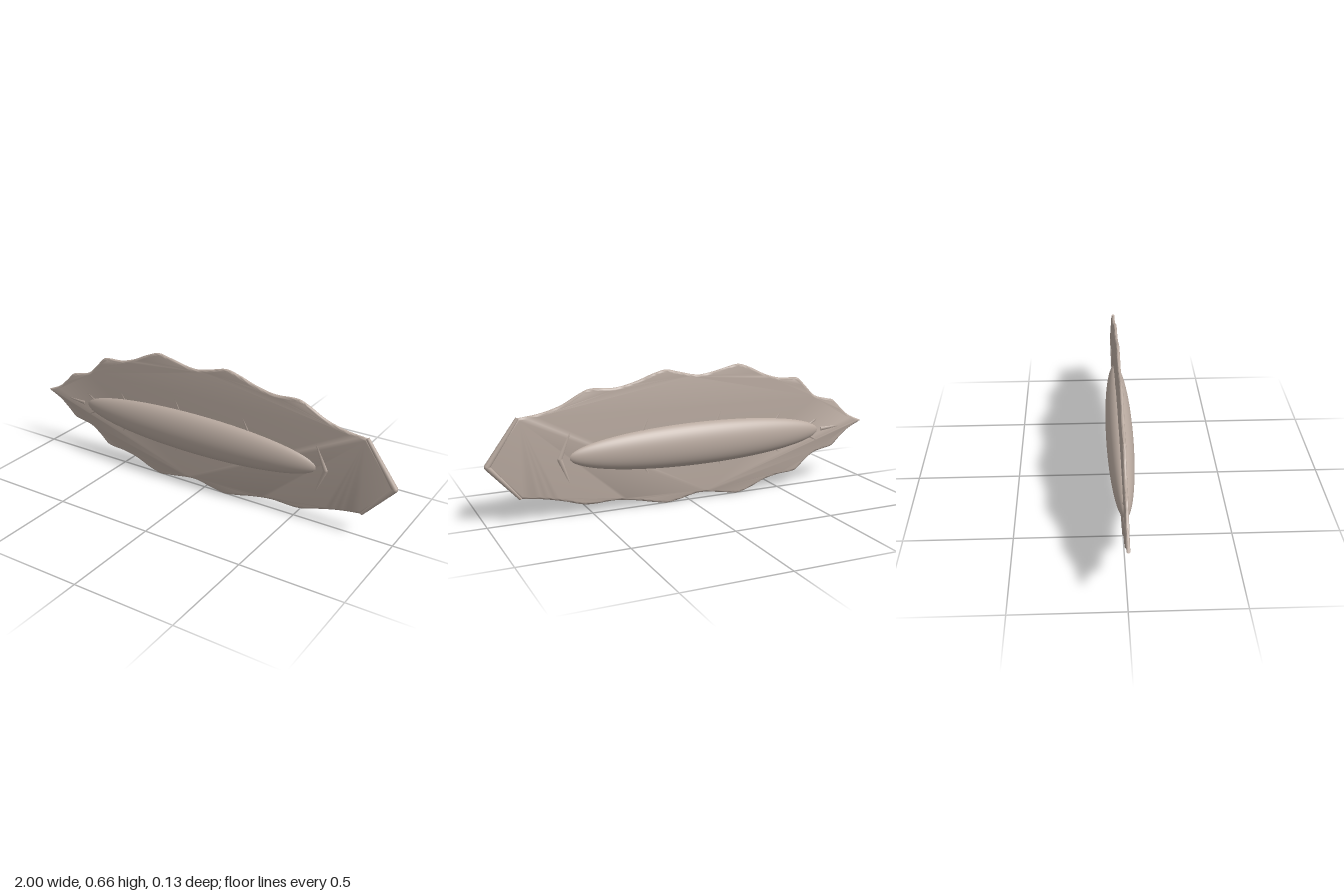
import * as THREE from 'three';
import { toCreasedNormals } from 'three/addons/utils/BufferGeometryUtils.js';

const skin = new THREE.MeshStandardMaterial({ color: 0xb9aaa0 });
skin.name = 'warm grey';

// Scalloped edges, each running from one hard corner to the next
const upperEdge = [
  [-1, 0.31], [-0.92, 0.347], [-0.87, 0.39], [-0.82, 0.437], [-0.79, 0.445], [-0.71, 0.468], [-0.655, 0.52],
  [-0.605, 0.568], [-0.575, 0.573], [-0.5, 0.577], [-0.42, 0.6], [-0.33, 0.643], [-0.265, 0.664], [-0.2, 0.653],
  [-0.055, 0.627], [0.05, 0.648], [0.12, 0.664], [0.185, 0.65], [0.28, 0.618], [0.38, 0.598], [0.5, 0.603],
  [0.55, 0.585], [0.64, 0.538], [0.74, 0.51], [0.84, 0.498],
];
const lowerEdge = [
  [0.84, 0.122], [0.74, 0.107], [0.64, 0.083], [0.55, 0.056], [0.5, 0.05], [0.38, 0.053], [0.28, 0.038],
  [0.185, 0.016], [0.12, 0.005], [0.05, 0.014], [-0.055, 0.034], [-0.2, 0.014], [-0.265, 0.005], [-0.33, 0.02],
  [-0.42, 0.056], [-0.5, 0.073], [-0.575, 0.078], [-0.605, 0.085], [-0.655, 0.127], [-0.71, 0.165],
  [-0.79, 0.183], [-0.82, 0.19], [-0.87, 0.233], [-0.92, 0.272], [-1, 0.31],
];

function smoothEdge(points) {
  const curve = new THREE.CatmullRomCurve3(points.map(([x, y]) => new THREE.Vector3(x, y, 0)), false, 'centripetal');
  return curve.getPoints(110).map((p) => new THREE.Vector2(p.x, p.y));
}

function mesh(name, geometry) {
  const m = new THREE.Mesh(geometry, skin);
  m.name = name;
  return m;
}

// Tapered round strut between two points in the plane of the membrane
function strut(name, [x0, y0], [x1, y1], r0, r1) {
  const dx = x1 - x0, dy = y1 - y0;
  const m = mesh(name, new THREE.CylinderGeometry(r1, r0, Math.hypot(dx, dy), 14));
  m.position.set((x0 + x1) / 2, (y0 + y1) / 2, 0);
  m.rotation.z = Math.atan2(-dx, dy);
  return m;
}

export function createModel() {
  const group = new THREE.Group();
  group.name = 'winged hull';

  // Thin membrane with a softly rounded rim
  const outline = [...smoothEdge(upperEdge), new THREE.Vector2(0.985, 0.29), ...smoothEdge(lowerEdge).slice(0, -1)];
  const sheet = new THREE.ExtrudeGeometry(new THREE.Shape(outline), {
    depth: 0.002, bevelEnabled: true, bevelThickness: 0.007, bevelSize: 0.012, bevelOffset: -0.012, bevelSegments: 4,
  });
  sheet.translate(0, 0, -0.001);
  group.add(mesh('membrane', toCreasedNormals(sheet, 0.9)));

  // Long central body
  const body = mesh('body', new THREE.SphereGeometry(1, 48, 40).rotateZ(Math.PI / 2));
  body.scale.set(0.672, 0.108, 0.065);
  body.position.set(-0.06, 0.288, 0);
  group.add(body);

  // Ribs emerging above and below the body
  const ribs = [
    [[-0.1, 0.288], [-0.185, 0.48], [-0.185, 0.14]],
    [[0.29, 0.288], [0.2, 0.475], [0.2, 0.14]],
    [[-0.43, 0.288], [-0.52, 0.425], [-0.515, 0.17]],
    [[-0.63, 0.288], [-0.745, 0.36], [-0.745, 0.22]],
    [[0.655, 0.288], [0.592, 0.43], [0.6, 0.145]],
  ];
  for (const [root, top, bottom] of ribs) {
    group.add(strut('upperRib', root, top, 0.014, 0.007));
    group.add(strut('lowerRib', root, bottom, 0.014, 0.007));
  }
  const joint = mesh('ribJoint', new THREE.SphereGeometry(0.014, 16, 12));
  joint.position.set(0.655, 0.288, 0);
  group.add(joint);

  // Pointed strut at the narrow end
  group.add(strut('noseStrut', [-0.75, 0.289], [-0.88, 0.296], 0.013, 0.007));

  // Pair of struts edging the broad end
  group.add(strut('upperEndStrut', [0.985, 0.29], [0.84, 0.497], 0.014, 0.009));
  group.add(strut('lowerEndStrut', [0.985, 0.288], [0.84, 0.123], 0.014, 0.009));
  const endJoint = mesh('endJoint', new THREE.SphereGeometry(0.014, 16, 12));
  endJoint.position.set(0.985, 0.289, 0);
  group.add(endJoint);

  return group;
}
